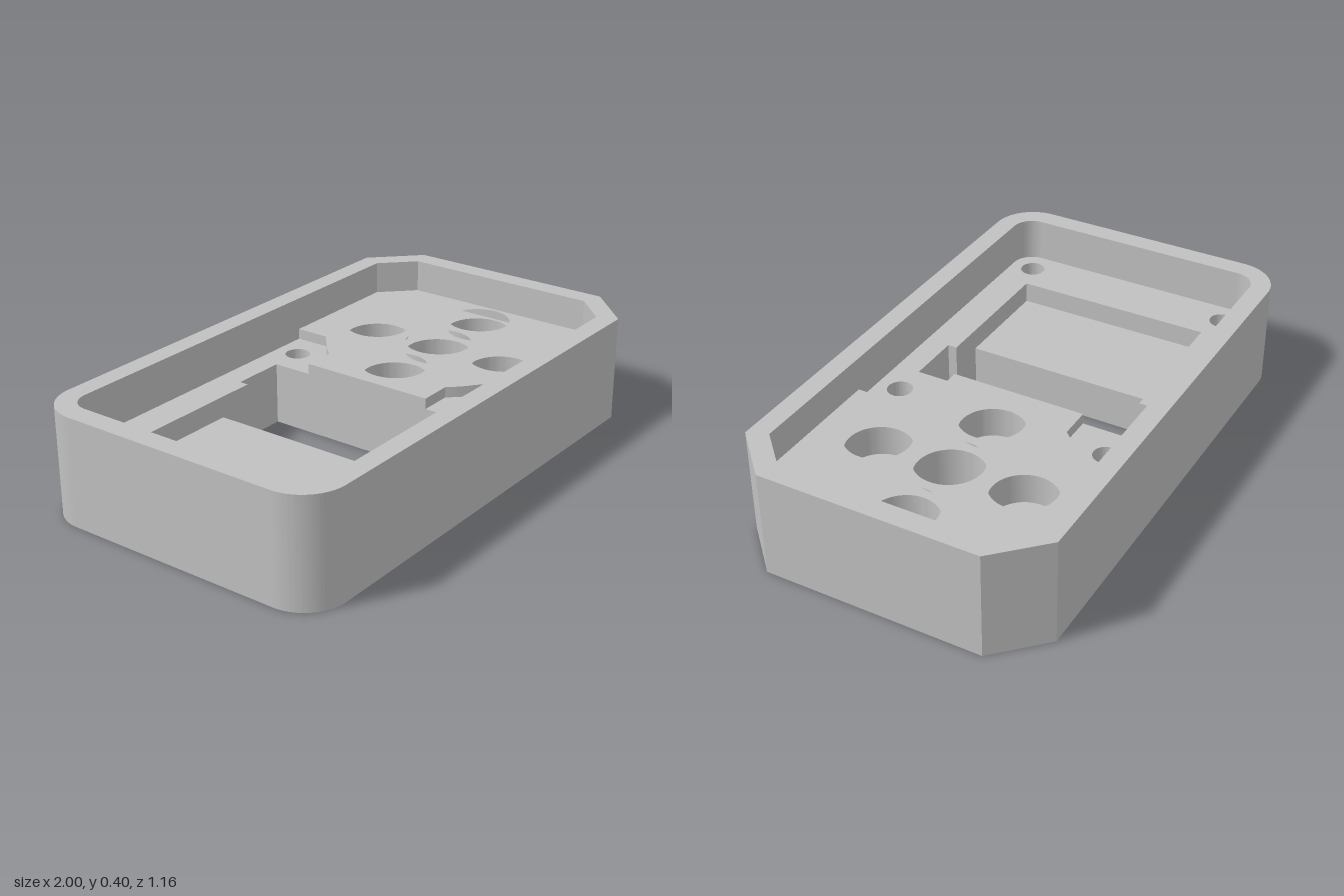
import * as THREE from 'three';
import { toCreasedNormals } from 'three/addons/utils/BufferGeometryUtils.js';

// Heights of the steps, from the underside up
const Y = { bore: 0.05, seat: 0.12, pocket: 0.155, floor: 0.235, deck: 0.275, rim: 0.4 };

const cornerSpots = [[-0.825, -0.413], [-0.825, 0.413], [0.167, -0.413], [0.167, 0.413]];
const ringSpots = [[0.22, 0], [0.785, 0], [0.503, -0.283], [0.503, 0.283]];

// Plan outline: round corners at -x, chamfered corners at +x
function trayOutline(path, x, z, radius, chamfer) {
  path.moveTo(-x + radius, -z);
  path.lineTo(x - chamfer, -z);
  path.lineTo(x, -z + chamfer);
  path.lineTo(x, z - chamfer);
  path.lineTo(x - chamfer, z);
  path.lineTo(-x + radius, z);
  path.absarc(-x + radius, z - radius, radius, Math.PI / 2, Math.PI, false);
  path.lineTo(-x, -z + radius);
  path.absarc(-x + radius, -z + radius, radius, Math.PI, Math.PI * 1.5, false);
  return path;
}

const outer = () => trayOutline(new THREE.Shape(), 1, 0.58, 0.16, 0.17);
const inner = (path) => trayOutline(path, 0.92, 0.505, 0.08, 0.12);

// Closed outline mirrored across z from its half with z > 0
function mirrored(half, Type = THREE.Path) {
  const all = [...half, ...half.map(([x, z]) => [x, -z]).reverse()];
  return new Type(all.map(([x, z]) => new THREE.Vector2(x, z)));
}

const circle = ([x, z], r) => new THREE.Path().absarc(x, z, r, 0, Math.PI * 2, true);
const circles = (spots, r) => spots.map((s) => circle(s, r));
const centreHole = () => circle([0.503, 0], 0.125);

// Opening whose narrow part starts at x0 and widens beside the deck
const opening = (x0) => mirrored([[x0, 0.378], [-0.167, 0.378], [-0.167, 0.413], [0.04, 0.413]]);

export function createModel() {
  const model = new THREE.Group();
  model.name = 'mountingTray';
  const grey = new THREE.MeshStandardMaterial({ color: 0xc0c0c0 });
  grey.name = 'lightGrey';

  function layer(name, shape, holes, y0, y1) {
    shape.holes.push(...holes);
    let geometry = new THREE.ExtrudeGeometry(shape, {
      depth: y1 - y0, bevelEnabled: false, curveSegments: 40,
    });
    geometry.rotateX(-Math.PI / 2);
    geometry = toCreasedNormals(geometry, 0.5);
    const mesh = new THREE.Mesh(geometry, grey);
    mesh.name = name;
    mesh.position.y = y0;
    model.add(mesh);
  }

  // Underside with wide recesses for the corner screws
  layer('underside', outer(), [
    opening(-0.305), centreHole(), ...circles(cornerSpots, 0.078), ...circles(ringSpots, 0.07),
  ], 0, Y.bore);

  // Plate up to the seats of the four counterbores
  layer('lowerPlate', outer(), [
    opening(-0.305), centreHole(), ...circles(cornerSpots, 0.047), ...circles(ringSpots, 0.07),
  ], Y.bore, Y.seat);

  // Plate up to the pocket floor
  layer('middlePlate', outer(), [
    opening(-0.305), centreHole(), ...circles(cornerSpots, 0.047), ...circles(ringSpots, 0.12),
  ], Y.seat, Y.pocket);

  // Plate around the pocket
  layer('trayFloor', outer(), [
    opening(-0.71), centreHole(), ...circles(cornerSpots, 0.047), ...circles(ringSpots, 0.12),
  ], Y.pocket, Y.floor);

  // Raised deck with the hole pattern
  layer('raisedDeck', mirrored([
    [0.04, 0.26], [0.163, 0.26], [0.2, 0.3], [0.29, 0.373], [0.29, 0.505], [0.8, 0.505], [0.92, 0.385],
  ], THREE.Shape), [centreHole(), ...circles(ringSpots, 0.12)], Y.floor, Y.deck);

  // Surrounding wall
  layer('wall', outer(), [inner(new THREE.Path())], Y.floor, Y.rim);

  return model;
}
